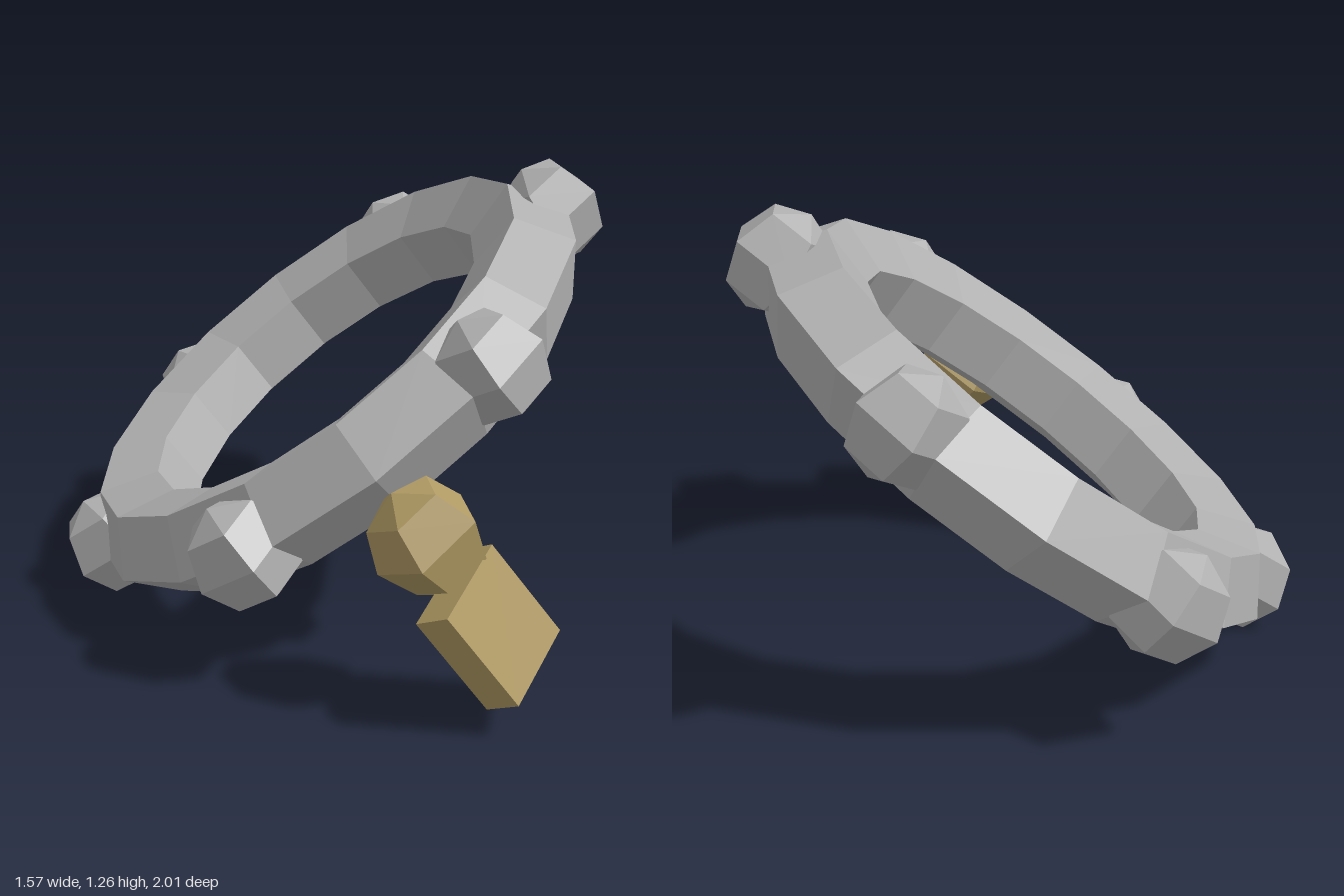
import * as THREE from 'three';

export function createModel() {
  const model = new THREE.Group();
  const grey = new THREE.MeshStandardMaterial({ color: 0xb0b0b0, flatShading: true });
  grey.name = 'grey metal';
  const gold = new THREE.MeshStandardMaterial({ color: 0xb09a64, flatShading: true });
  gold.name = 'dull gold';

  // Every part shares the same lean
  const leaning = (name, x, y, z) => {
    const g = new THREE.Group();
    g.name = name;
    g.position.set(x, y, z);
    g.rotation.set(0.03, 0, 0.642);
    model.add(g);
    return g;
  };
  const add = (parent, name, geometry, material) => {
    const mesh = new THREE.Mesh(geometry, material);
    mesh.name = name;
    parent.add(mesh);
    return mesh;
  };
  const beadGeometry = new THREE.SphereGeometry(0.157, 5, 4);

  // Ring with a five-sided section, its axis along local y
  const ringGroup = leaning('beadedRing', 0, 0.637, -0.14);
  const band = new THREE.TorusGeometry(0.705, 0.155, 5, 16);
  band.rotateX(-Math.PI / 2);
  add(ringGroup, 'ringBand', band, grey);

  // Six beads spaced evenly around the ring
  for (let i = 0; i < 6; i++) {
    const angle = (i * Math.PI) / 3;
    const bead = add(ringGroup, 'ringBead', beadGeometry, grey);
    bead.position.set(0.81 * Math.cos(angle), 0, -0.81 * Math.sin(angle));
    bead.rotation.y = angle;
  }

  // Loose pendant: a gold bead above a turned plate
  add(leaning('pendantTop', 0.12, 0.48, 0.79), 'pendantBead', beadGeometry, gold);
  const plate = add(leaning('pendantBottom', 0.267, 0.263, 0.868), 'pendantPlate',
    new THREE.BoxGeometry(0.26, 0.31, 0.11), gold);
  plate.rotation.y = Math.PI / 4;

  return model;
}
